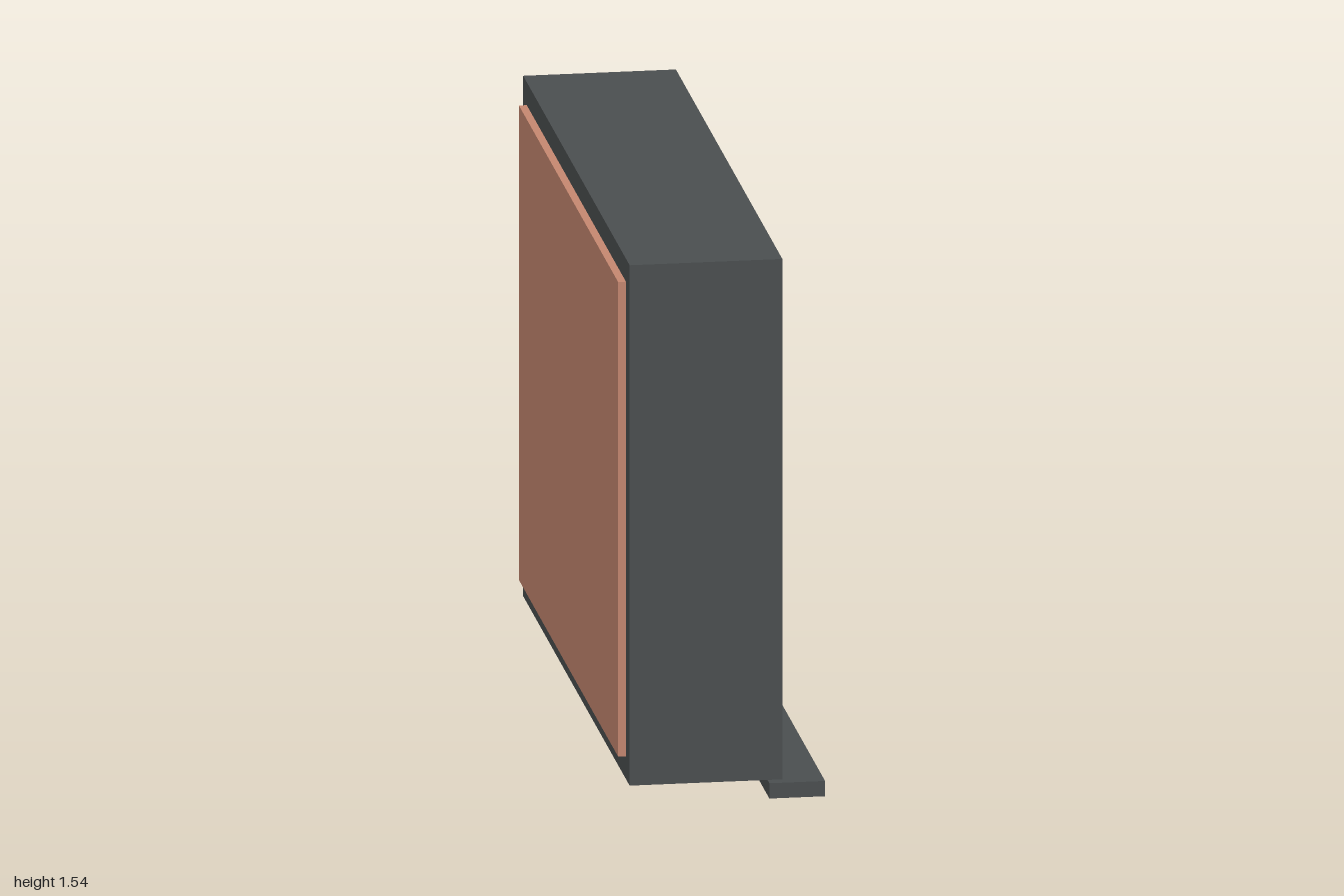
import * as THREE from 'three';

export function createModel() {
  const model = new THREE.Group();
  model.name = 'window';

  const frameMat = new THREE.MeshStandardMaterial({ color: 0x4a4e4f });
  frameMat.name = 'dark grey frame';
  const glassMat = new THREE.MeshStandardMaterial({ color: 0x7f8c8a });
  glassMat.name = 'grey green glass';
  const panelMat = new THREE.MeshStandardMaterial({ color: 0xc4866f });
  panelMat.name = 'terracotta panel';

  // Box given by its extents on each axis
  function box(name, mat, [x0, x1], [y0, y1], [z0, z1]) {
    const mesh = new THREE.Mesh(new THREE.BoxGeometry(x1 - x0, y1 - y0, z1 - z0), mat);
    mesh.position.set((x0 + x1) / 2, (y0 + y1) / 2, (z0 + z1) / 2);
    mesh.name = name;
    model.add(mesh);
  }

  const depth = [-0.262, 0.166];
  const inner = [-0.91, 0.91];
  const bottom = 0.047, top = 1.545, rail = 0.066;
  const opening = [bottom + rail, top - rail];

  // Deep outer frame: full-height jambs with rails between them
  box('leftJamb', frameMat, depth, [bottom, top], [-0.976, -0.91]);
  box('rightJamb', frameMat, depth, [bottom, top], [0.91, 0.976]);
  box('bottomRail', frameMat, depth, [bottom, opening[0]], inner);
  box('topRail', frameMat, depth, [opening[1], top], inner);

  // Glass pane, set back from the frame face
  box('glass', glassMat, [0.1, 0.115], opening, inner);

  // Glazing bars, the horizontal one split around the vertical one
  const bars = [0.095, 0.142];
  box('verticalBar', frameMat, bars, opening, [-0.023, 0.023]);
  box('horizontalBarLeft', frameMat, bars, [0.778, 0.82], [-0.91, -0.023]);
  box('horizontalBarRight', frameMat, bars, [0.778, 0.82], [0.023, 0.91]);

  // Panel closing the back of the opening and standing slightly proud
  box('backPanel', panelMat, [-0.284, -0.24], opening, inner);

  // Projecting sill
  box('sill', frameMat, [0.126, 0.282], [0, 0.044], [-1, 1]);

  return model;
}
